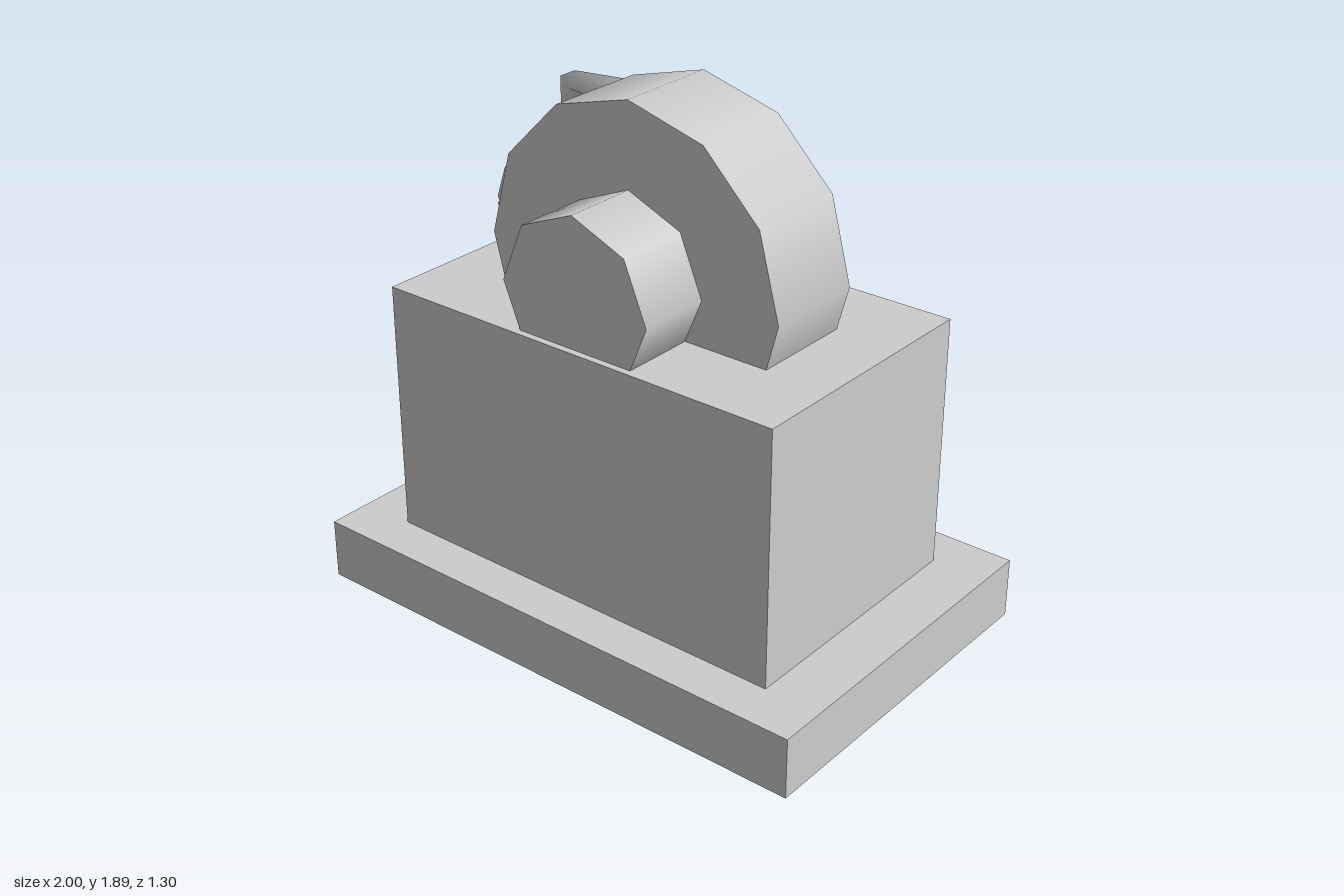
import * as THREE from 'three';

// Six-sided closed tube lying in an xy plane; each ring is [x, y, tangentAngle]
function hexTube(rings, z, radius) {
  const SIDES = 6, pos = [], index = [];
  const addRing = ([x, y, angle]) => {
    for (let j = 0; j < SIDES; j++) {
      const a = (j / SIDES) * Math.PI * 2, s = radius * Math.sin(a);
      pos.push(x - Math.sin(angle) * s, y + Math.cos(angle) * s, z + radius * Math.cos(a));
    }
  };
  rings.forEach(addRing);
  for (let i = 0; i < rings.length - 1; i++) {
    for (let j = 0; j < SIDES; j++) {
      const a = i * SIDES + j, b = i * SIDES + (j + 1) % SIDES;
      index.push(a, a + SIDES, b, b, a + SIDES, b + SIDES);
    }
  }
  // flat end caps with their own corners
  const last = rings.length - 1;
  addRing(rings[0]);
  addRing(rings[last]);
  const first = rings.length * SIDES, end = first + SIDES;
  for (let j = 1; j < SIDES - 1; j++) {
    index.push(first, first + j, first + j + 1);
    index.push(end, end + j + 1, end + j);
  }
  const geometry = new THREE.BufferGeometry();
  geometry.setAttribute('position', new THREE.Float32BufferAttribute(pos, 3));
  geometry.setIndex(index);
  geometry.computeVertexNormals();
  return geometry;
}

export function createModel() {
  const group = new THREE.Group();
  const grey = new THREE.MeshStandardMaterial({ color: 0xcccccc });
  grey.name = 'plain grey';

  const add = (name, geometry, x = 0, y = 0, z = 0) => {
    const mesh = new THREE.Mesh(geometry, grey);
    mesh.name = name;
    mesh.position.set(x, y, z);
    group.add(mesh);
  };

  // Plinth and housing
  add('base', new THREE.BoxGeometry(2, 0.22, 1.3), 0, 0.11, 0);
  add('housing', new THREE.BoxGeometry(1.59, 0.92, 0.97), 0, 0.68, 0);

  // Wheel and hub, half sunk into the housing
  const drum = (radius, length, sides) =>
    new THREE.CylinderGeometry(radius, radius, length, sides).rotateX(Math.PI / 2);
  add('wheel', drum(0.595, 0.38, 12), 0, 1.3, 0);
  add('hub', drum(0.297, 0.92, 8), 0, 1.3, 0);

  // Bent pipe: upright, elbow, arm
  const up = Math.PI / 2;
  add('pipe', hexTube([[-0.65, 1.1, up], [-0.65, 1.68, 1.25], [-0.165, 1.68, 0]], -0.325, 0.075));

  // Hand wheel: ten-sided rim, split on its outer side, with crossed spokes
  const cx = -0.65, cy = 1.25, cz = -0.14, R = 0.186, step = Math.PI / 5;
  const rim = [];
  for (let k = 0; k <= 10; k++) {
    const a = Math.PI - k * step;
    const tilt = k === 0 ? -step / 2 : k === 10 ? step / 2 : 0;
    rim.push([cx + R * Math.cos(a), cy + R * Math.sin(a), a + tilt - up]);
  }
  add('handWheelRim', hexTube(rim, cz, 0.045));
  add('handWheelSpokeAcross', hexTube([[cx - R, cy, 0], [cx + R, cy, 0]], cz, 0.03));
  add('handWheelSpokeUpright', hexTube([[cx, cy - R, up], [cx, cy + R, up]], cz, 0.03));

  return group;
}
